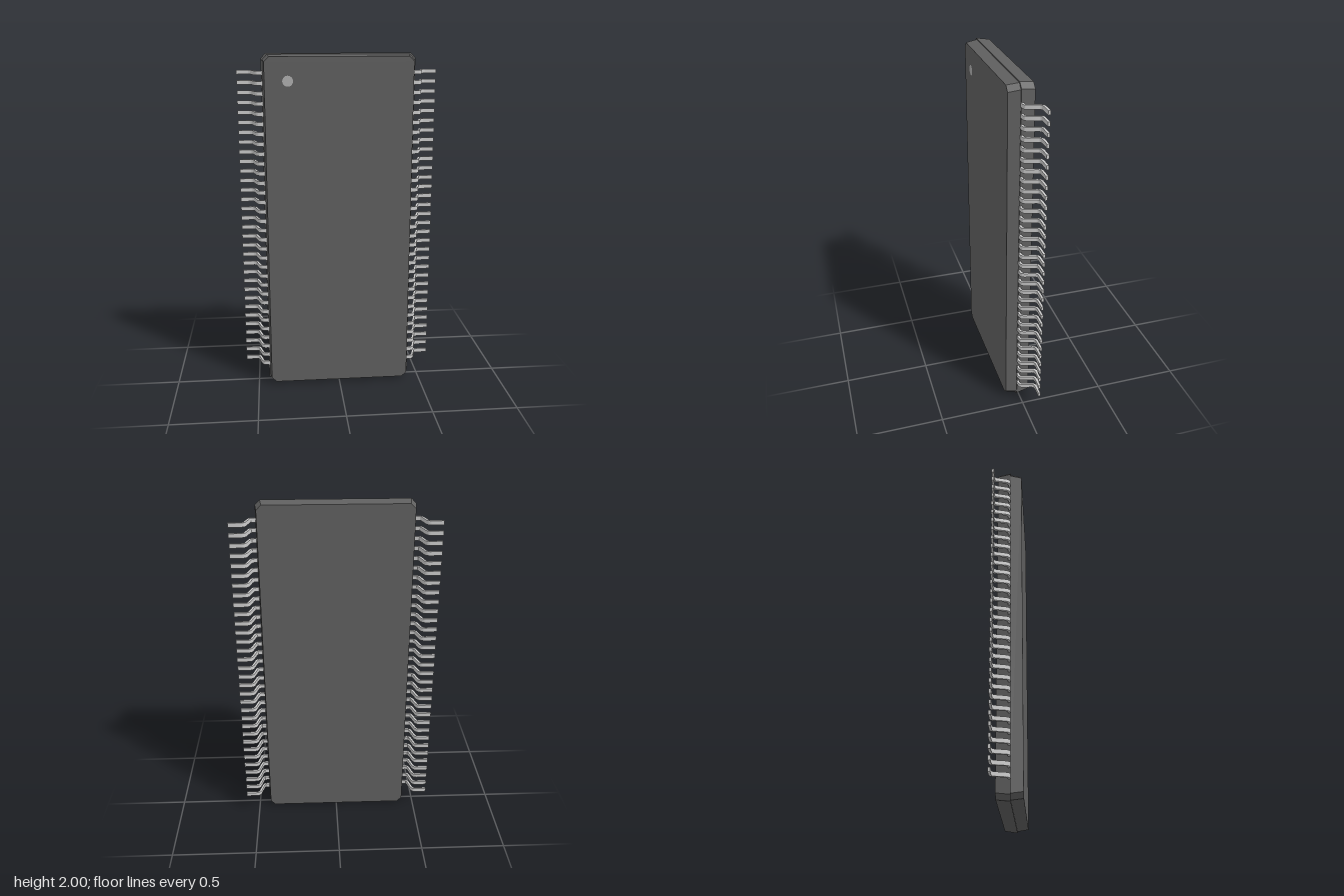
import * as THREE from 'three';
import { ConvexGeometry } from 'three/addons/geometries/ConvexGeometry.js';
import { toCreasedNormals } from 'three/addons/utils/BufferGeometryUtils.js';

const MID_Y = 1;

// Corners of a rectangle with chamfered corners, lying at depth z
function chamferedRect(halfW, halfH, z, chamfer = 0.028) {
  const points = [];
  for (const sx of [-1, 1]) {
    for (const sy of [-1, 1]) {
      points.push(new THREE.Vector3(sx * (halfW - chamfer), MID_Y + sy * halfH, z));
      points.push(new THREE.Vector3(sx * halfW, MID_Y + sy * (halfH - chamfer), z));
    }
  }
  return points;
}

// One bent strip: a flat foot, a sloping riser and a short shoulder entering the body
function leadGeometry(side) {
  const thickness = 0.0135, width = 0.023;
  const v = (x, z) => new THREE.Vector2(side * x, -z);
  const path = new THREE.CurvePath();
  const footBend = v(0.493, -0.077), shoulderBend = v(0.468, 0.0125);
  const corner = (before, bend, after) => new THREE.QuadraticBezierCurve(before, bend, after);
  const a = v(0.578, -0.077), b = v(0.513, -0.077), c = v(0.488, -0.059);
  const d = v(0.473, -0.005), e = v(0.452, 0.0125), f = v(0.42, 0.0125);
  path.add(new THREE.LineCurve(a, b));
  path.add(corner(b, footBend, c));
  path.add(new THREE.LineCurve(c, d));
  path.add(corner(d, shoulderBend, e));
  path.add(new THREE.LineCurve(e, f));

  // Offset the centre line to both sides to get the strip outline
  const points = path.getPoints(6);
  const upper = [], lower = [];
  points.forEach((p, i) => {
    const next = points[Math.min(i + 1, points.length - 1)];
    const prev = points[Math.max(i - 1, 0)];
    const t = next.clone().sub(prev).normalize().multiplyScalar(thickness / 2);
    upper.push(new THREE.Vector2(p.x - t.y, p.y + t.x));
    lower.unshift(new THREE.Vector2(p.x + t.y, p.y - t.x));
  });
  const geometry = new THREE.ExtrudeGeometry(new THREE.Shape([...upper, ...lower]), {
    depth: width, bevelEnabled: false,
  });
  geometry.translate(0, 0, -width / 2);
  geometry.rotateX(-Math.PI / 2);
  return toCreasedNormals(geometry, 0.7);
}

export function createModel() {
  const model = new THREE.Group();
  model.name = 'chipPackage';
  const bodyMaterial = new THREE.MeshStandardMaterial({ color: 0x606060 });
  const metal = new THREE.MeshStandardMaterial({ color: 0xcccccc });
  const markMaterial = new THREE.MeshStandardMaterial({ color: 0xb0b0b0 });

  const add = (name, geometry, material, parent = model) => {
    const mesh = new THREE.Mesh(geometry, material);
    mesh.name = name;
    parent.add(mesh);
    return mesh;
  };

  // Two tapered moulded halves, the front one slightly smaller at the seam
  const seam = 0.018;
  add('bodyFrontHalf', new ConvexGeometry([
    ...chamferedRect(0.43, 0.993, seam), ...chamferedRect(0.42, 0.983, 0.083),
  ]), bodyMaterial);
  add('bodyBackHalf', new ConvexGeometry([
    ...chamferedRect(0.437, 1, seam), ...chamferedRect(0.427, 0.99, -0.057),
  ]), bodyMaterial);

  // Round orientation mark in the upper corner of the front face
  const mark = add('orientationMark', new THREE.CircleGeometry(0.03, 32), markMaterial);
  mark.position.set(-0.29, 1.85, 0.0836);

  // Rows of leads along both long edges
  const count = 32, pitch = 0.0573;
  for (const side of [-1, 1]) {
    const row = new THREE.Group();
    row.name = side > 0 ? 'leftLeads' : 'rightLeads';
    const geometry = leadGeometry(side);
    for (let i = 0; i < count; i++) {
      const lead = add('lead', geometry, metal, row);
      lead.position.y = MID_Y + 0.003 + (i - (count - 1) / 2) * pitch;
    }
    model.add(row);
  }
  return model;
}
